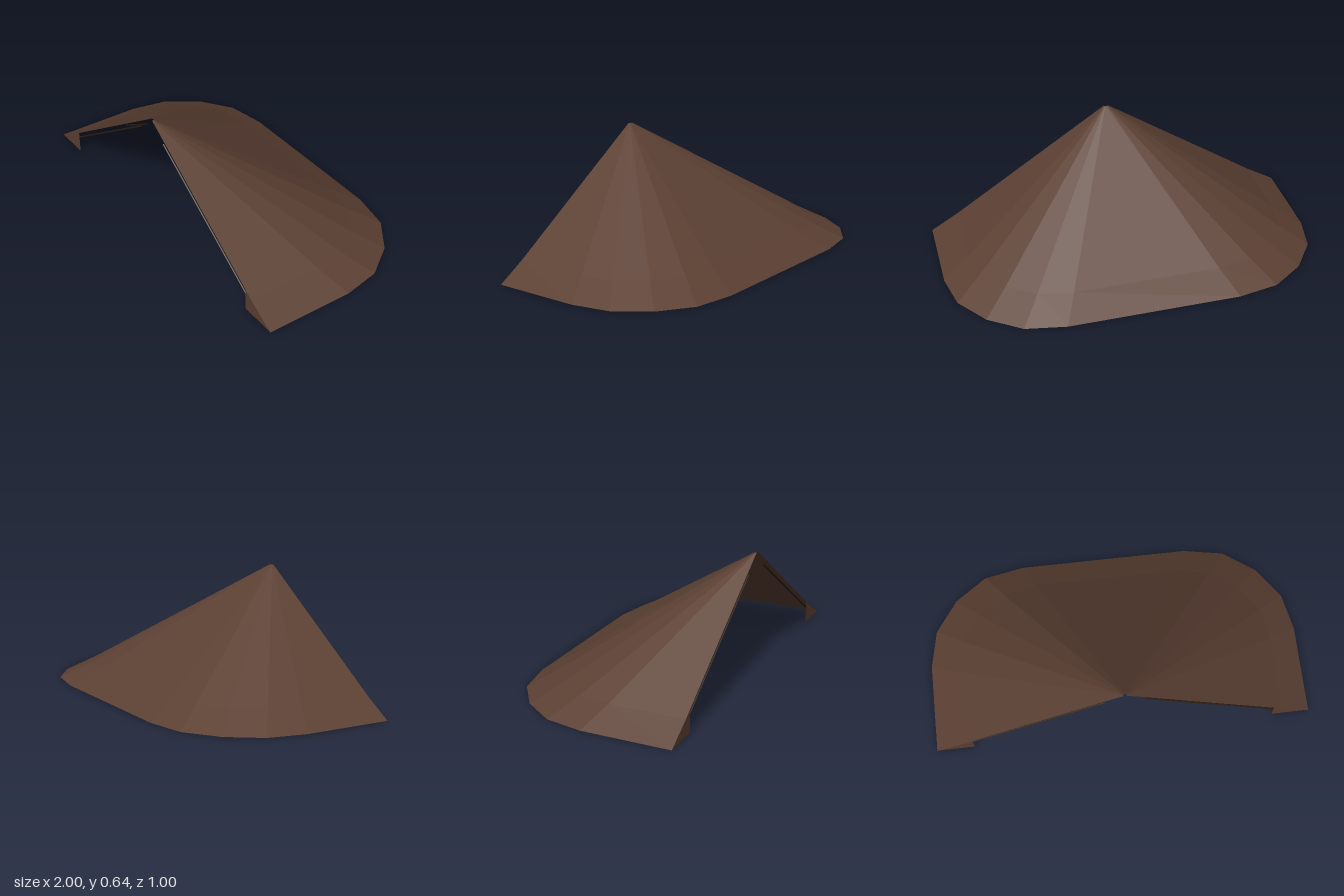
import * as THREE from 'three';

export function createModel() {
  const group = new THREE.Group();
  const hide = new THREE.MeshStandardMaterial({ color: 0x5c4033, flatShading: true, side: THREE.DoubleSide });
  hide.name = 'brown hide';
  const wood = new THREE.MeshStandardMaterial({ color: 0x2e1f16 });
  wood.name = 'dark wood';

  const add = (name, geometry, material) => {
    const mesh = new THREE.Mesh(geometry, material);
    mesh.name = name;
    group.add(mesh);
    return mesh;
  };

  // Ground outline from the left front corner round the back, mirrored
  const half = [[1, 0.5], [1, 0.03], [0.96, -0.17], [0.84, -0.34], [0.67, -0.46], [0.455, -0.5]];
  const rim = [...half, ...half.map(([x, z]) => [-x, z]).reverse()];

  // Sheet: the outline shrinks towards the peak at the middle of the front
  const rings = [[0.01, 0.645], [0.85, 0.088], [1, 0]];
  const positions = [];
  const point = (ring, i) => [rim[i][0] * ring[0], ring[1], 0.5 + (rim[i][1] - 0.5) * ring[0]];
  for (let r = 0; r < rings.length - 1; r++) {
    for (let i = 0; i < rim.length - 1; i++) {
      const a = point(rings[r], i), b = point(rings[r + 1], i);
      const c = point(rings[r + 1], i + 1), d = point(rings[r], i + 1);
      positions.push(...a, ...b, ...c, ...a, ...c, ...d);
    }
  }
  const sheet = new THREE.BufferGeometry();
  sheet.setAttribute('position', new THREE.Float32BufferAttribute(positions, 3));
  sheet.computeVertexNormals();
  add('shelterSheet', sheet, hide);

  // Small triangular flaps closing the front corners
  for (const side of [1, -1]) {
    const shape = new THREE.Shape([
      new THREE.Vector2(side * 0.8, 0), new THREE.Vector2(side, 0),
      new THREE.Vector2(side * 0.85, 0.088), new THREE.Vector2(side * 0.8, 0.121),
    ]);
    const flap = add(side > 0 ? 'leftFrontFlap' : 'rightFrontFlap', new THREE.ShapeGeometry(shape), hide);
    flap.position.z = 0.498;
  }

  // Thin poles under the sheet, fanned out from the peak
  for (const degrees of [-90, -70, -28.5, 0, 14.5, 90]) {
    const angle = THREE.MathUtils.degToRad(degrees);
    const at = (radius, y) => new THREE.Vector3(radius * Math.sin(angle), y, 0.495 - radius * Math.cos(angle));
    const path = new THREE.LineCurve3(at(0.1, 0.553), at(0.8, 0.092));
    add('pole', new THREE.TubeGeometry(path, 1, 0.005, 6), wood);
  }

  return group;
}
